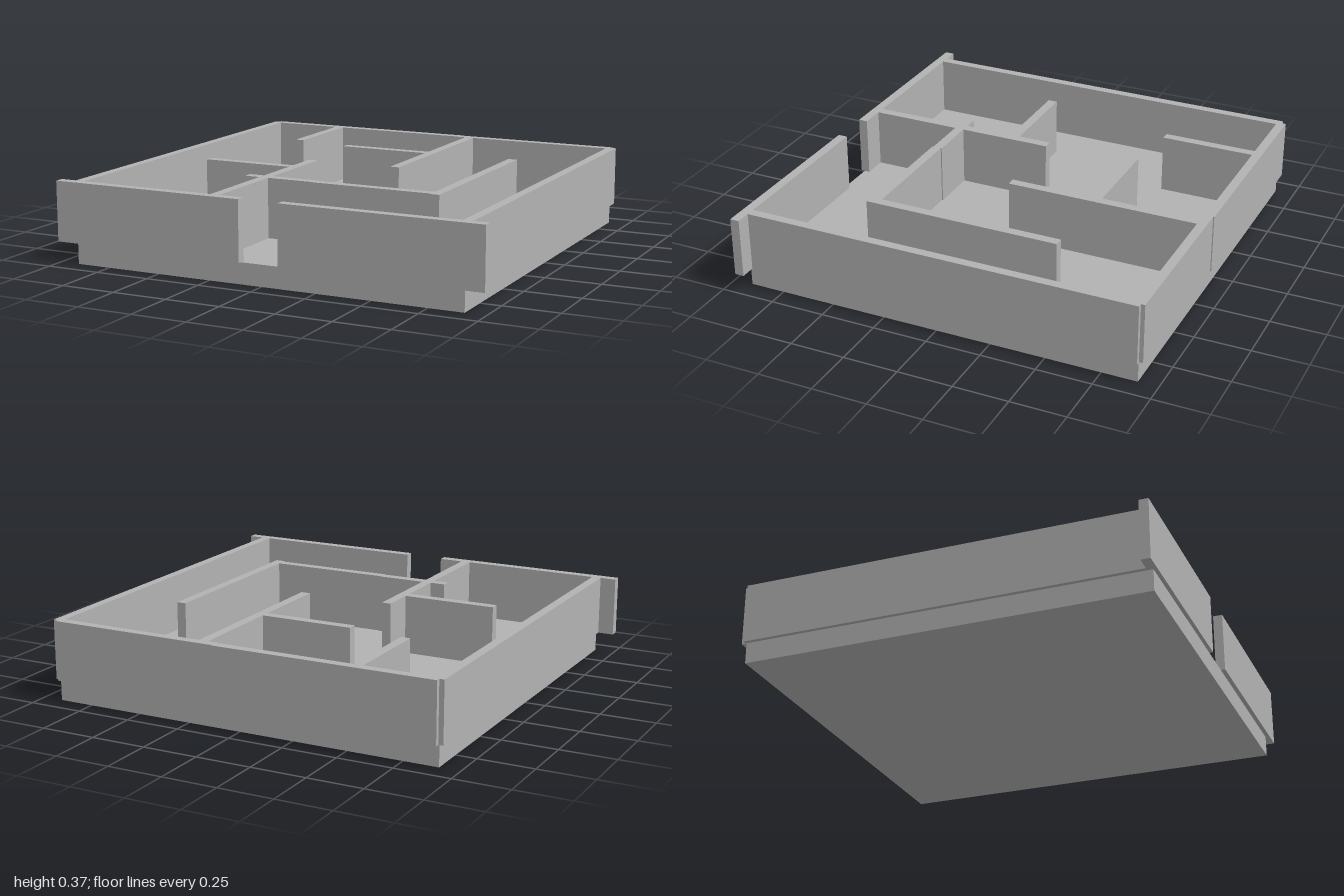
import * as THREE from 'three';

const FLOOR = 0.095; // top of the base slab
const TOP = 0.365; // top of every wall

export function createModel() {
  const model = new THREE.Group();
  const plaster = new THREE.MeshStandardMaterial({ color: 0xb2b2b2 });
  plaster.name = 'greyPlaster';

  // Axis-aligned block given by its plan extents and height range
  function block(name, x0, x1, z0, z1, y0 = FLOOR, y1 = TOP) {
    const mesh = new THREE.Mesh(new THREE.BoxGeometry(x1 - x0, y1 - y0, z1 - z0), plaster);
    mesh.position.set((x0 + x1) / 2, (y0 + y1) / 2, (z0 + z1) / 2);
    mesh.name = name;
    model.add(mesh);
  }

  // Base slab
  block('baseSlab', -0.908, 0.908, -0.91, 0.91, 0, FLOOR);

  // Outer walls; the front pair leaves a doorway
  block('frontWallRight', -1, -0.095, 0.885, 0.927);
  block('frontWallLeft', 0.09, 1, 0.888, 0.93);
  block('rightWall', -0.927, -0.885, -0.915, 0.885);
  block('leftWall', 0.888, 0.93, -0.912, 0.888);
  block('backWallRight', -0.905, 0.115, -0.935, -0.893);
  block('backWallLeft', 0.115, 0.91, -0.93, -0.888);

  // Partitions: [name, x0, x1, z0, z1]
  const partitions = [
    ['backRightPartition', -0.565, -0.522, -0.893, -0.46],
    ['backLongPartition', 0.16, 0.203, -0.888, -0.005],
    ['backBranchPartition', -0.27, 0.16, -0.435, -0.392],
    ['leftLongPartition', 0.57, 0.613, -0.42, 0.485],
    ['crossPartitionLeft', 0.015, 0.57, 0.432, 0.475],
    ['crossPartitionMiddle', -0.207, 0.015, 0.427, 0.47],
    ['crossPartitionEnd', -0.32, -0.25, 0.427, 0.47],
    ['frontLongPartition', -0.25, -0.207, 0, 0.885],
    ['frontBranchPartition', -0.68, -0.25, 0.155, 0.198],
  ];
  for (const p of partitions) block(...p);

  return model;
}
